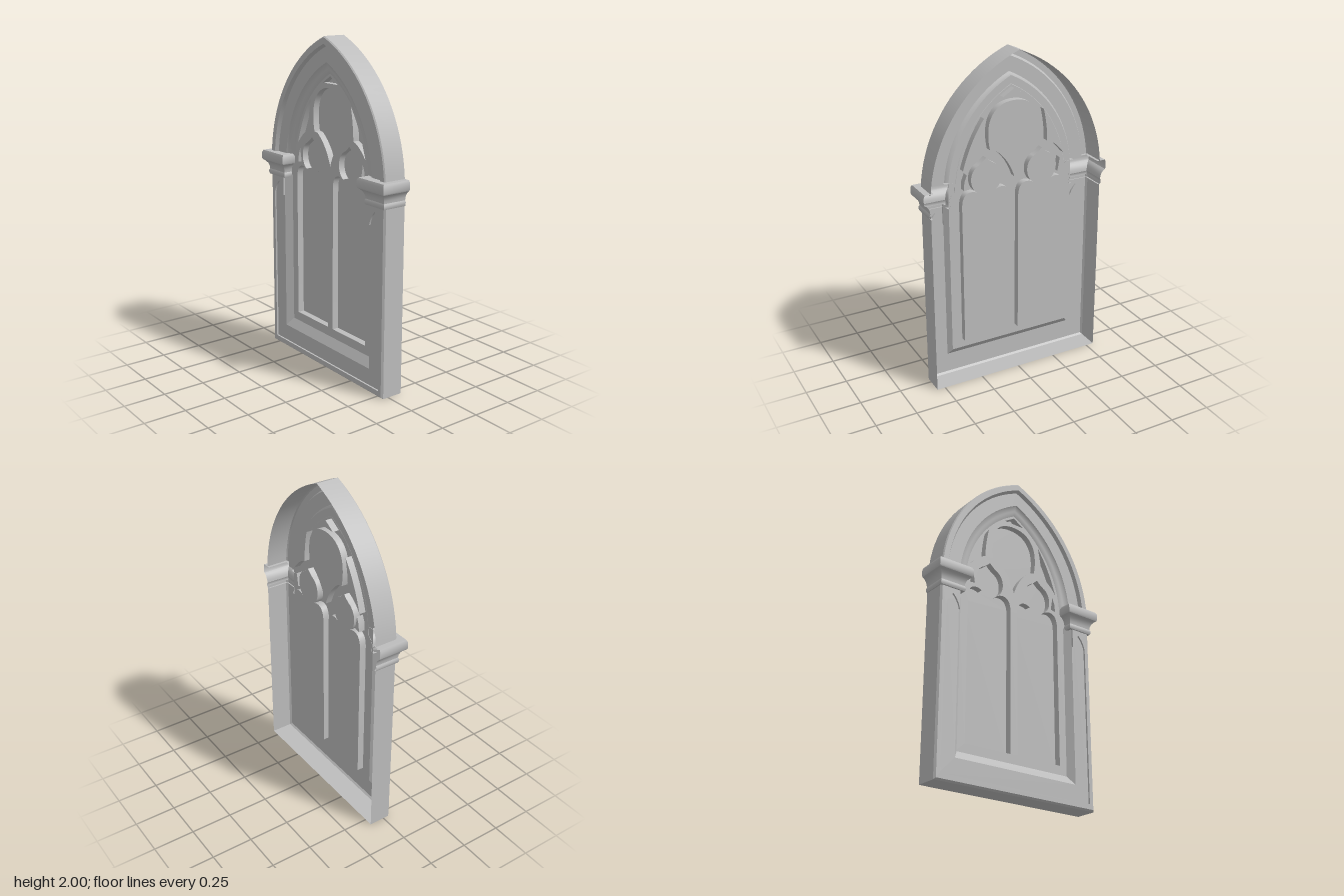
import * as THREE from 'three';
import { toCreasedNormals } from 'three/addons/utils/BufferGeometryUtils.js';

const stone = new THREE.MeshStandardMaterial({ color: 0xbdbdbd, side: THREE.DoubleSide });
stone.name = 'grey stone';

const BACK = -0.095, FRONT = 0.047, PANEL = 0.036, TRACERY = 0, PANE = -0.04;
const HALF = 0.55, SPRING = 1.2, OFFSET = 0.307, RADIUS = HALF + OFFSET;
const CAP_LOW = 1.13, CAP_HIGH = 1.255;

const at = (points, z) => points.map(p => [p[0], p[1], z]);
const flip = points => points.map(p => [-p[0], p[1], ...p.slice(2)]).reverse();

// Surface through rows of points
function loft(rows, closed = false) {
  const pos = [];
  for (let r = 0; r + 1 < rows.length; r++) {
    const a = rows[r], b = rows[r + 1], n = a.length;
    for (let i = 0; i < (closed ? n : n - 1); i++) {
      const j = (i + 1) % n;
      pos.push(...a[i], ...a[j], ...b[j], ...a[i], ...b[j], ...b[i]);
    }
  }
  const g = new THREE.BufferGeometry();
  g.setAttribute('position', new THREE.Float32BufferAttribute(pos, 3));
  g.computeVertexNormals();
  return toCreasedNormals(g, 0.5);
}

// Flat front-facing plate with holes
function plate(points, z, holes = []) {
  const vec = list => list.map(p => new THREE.Vector2(p[0], p[1]));
  const shape = new THREE.Shape(vec(points));
  shape.holes = holes.map(h => new THREE.Path(vec(h)));
  return new THREE.ShapeGeometry(shape).translate(0, 0, z);
}

// Pointed arch inset by d, running from right to left
function arch(d, fromY = CAP_HIGH, steps = 20) {
  const r = RADIUS - d, a0 = Math.asin((fromY - SPRING) / r), a1 = Math.acos(OFFSET / r);
  const right = [];
  for (let i = 0; i <= steps; i++) {
    const a = a0 + (a1 - a0) * i / steps;
    right.push([r * Math.cos(a) - OFFSET, SPRING + r * Math.sin(a)]);
  }
  return [...right, ...flip(right).slice(1)];
}

// U-shaped lower outline inset by d, running from left to right
function lowerU(d, base) {
  const w = HALF - d;
  return [[-w, CAP_LOW], [-w, base], [w, base], [w, CAP_LOW]];
}

// Samples a path drawn by a callback
function trace(draw) {
  const path = new THREE.Path();
  draw(path);
  return path.getPoints(10).map(p => [p.x, p.y]);
}
// Closes a right half outline with its mirror image
const mirrored = half => [...half, ...flip(half).filter(p => Math.abs(p[0]) > 1e-4)];

// Outlines of the openings in the tracery
function openings() {
  const lancet = mirrored(trace(p => {
    p.moveTo(0.155, 0.245);
    p.lineTo(0.155, 1.12);
    p.bezierCurveTo(0.155, 1.2, 0.11, 1.22, 0.058, 1.195);
    p.bezierCurveTo(0.102, 1.22, 0.115, 1.31, 0.06, 1.35);
    p.quadraticCurveTo(0.03, 1.365, 0, 1.395);
  }));
  const foil = mirrored(trace(p => {
    p.moveTo(0, 1.25);
    p.quadraticCurveTo(0.04, 1.37, 0.125, 1.43);
    p.lineTo(0.155, 1.435);
    p.bezierCurveTo(0.17, 1.5, 0.17, 1.58, 0.145, 1.625);
    p.bezierCurveTo(0.115, 1.685, 0.06, 1.705, 0, 1.705);
  }));
  const eye = trace(p => {
    p.moveTo(0.325, 1.34);
    p.quadraticCurveTo(0.275, 1.51, 0.19, 1.625);
    p.quadraticCurveTo(0.215, 1.52, 0.215, 1.43);
    p.quadraticCurveTo(0.27, 1.415, 0.325, 1.34);
  }).slice(0, -1);
  const dagger = [[0.288, 1.23], [0.322, 1.222], [0.318, 1.27], [0.302, 1.312]];
  const peak = [[-0.07, 1.73], [0.07, 1.73], [0, 1.773]];
  const shift = (pts, dx) => pts.map(p => [p[0] + dx, p[1]]);
  return {
    rightLancet: shift(lancet, -0.18), leftLancet: shift(lancet, 0.18), foil, peak,
    leftEye: eye, rightEye: flip(eye), leftDagger: dagger, rightDagger: flip(dagger),
  };
}

export function createModel() {
  const model = new THREE.Group();
  model.name = 'gothicWindow';
  const add = (name, geometry) => {
    const mesh = new THREE.Mesh(geometry, stone);
    mesh.name = name;
    model.add(mesh);
  };

  // Lower frame: outer wall with a small bevelled edge
  add('lowerOuterWall', loft([
    at(lowerU(0, 0), BACK), at(lowerU(0, 0), PANEL), at(lowerU(0.01, 0.01), FRONT),
  ]));

  // Raised rim around a sunken border with pointed tops
  const rimHalf = trace(p => {
    p.moveTo(0.515, 0.04);
    p.lineTo(0.515, 1.0);
    p.quadraticCurveTo(0.505, 1.05, 0.467, 1.085);
    p.quadraticCurveTo(0.43, 1.05, 0.42, 1.0);
    p.lineTo(0.42, CAP_LOW);
  });
  const rim = [...flip(rimHalf), ...rimHalf];
  add('lowerRim', plate([...lowerU(0.01, 0.01), ...rim.slice().reverse()], FRONT));
  add('rimStep', loft([at(rim, FRONT), at(rim, PANEL)]));
  add('sunkenBorder', plate([...rim.slice(1, -1), [0.42, 0.14], [-0.42, 0.14]], PANEL));

  // Sloped jambs and sill down to the tracery
  add('jambsAndSill', loft([at(lowerU(0.13, 0.14), PANEL), at(lowerU(0.165, 0.19), TRACERY)]));

  // Moulded pointed arch: inset and depth of each ridge
  const mouldings = [
    [0, BACK], [0, 0.04], [0.006, FRONT], [0.04, FRONT], [0.052, 0.026], [0.135, 0.026],
    [0.142, 0.02], [0.165, 0.01], [0.174, 0.01], [0.195, -0.001],
  ];
  add('archMoulding', loft(mouldings.map(([d, z]) => at(arch(d), z))));

  // Tracery plate, opening walls and recessed panes
  const holes = openings();
  const outline = [[-0.4, 0.185], [0.4, 0.185], ...arch(0.15, SPRING)];
  add('tracery', plate(outline, TRACERY, Object.values(holes)));
  for (const [name, pts] of Object.entries(holes)) {
    add(name + 'Edge', loft([at(pts, TRACERY), at(pts, PANE)], true));
    add(name + 'Pane', plate(pts, PANE));
  }

  // Capitals: a moulded profile wrapped around each pier, open at the back
  const profile = [
    [-0.01, 1.115], [0.005, 1.115], [0.009, 1.125], [0.009, 1.138], [0.004, 1.148],
    [0.006, 1.165], [0.013, 1.183], [0.024, 1.197], [0.036, 1.205], [0.04, 1.213],
    [0.04, 1.25], [0.033, 1.265], [-0.02, 1.265],
  ];
  const rows = profile.map(([d, y]) => [
    [0.4 - d, y, TRACERY - 0.002], [0.4 - d, y, 0.05 + d], [0.55 + d, y, 0.05 + d], [0.55 + d, y, BACK],
  ]);
  add('leftCapital', loft(rows));
  add('rightCapital', loft(rows.map(flip)));
  return model;
}
